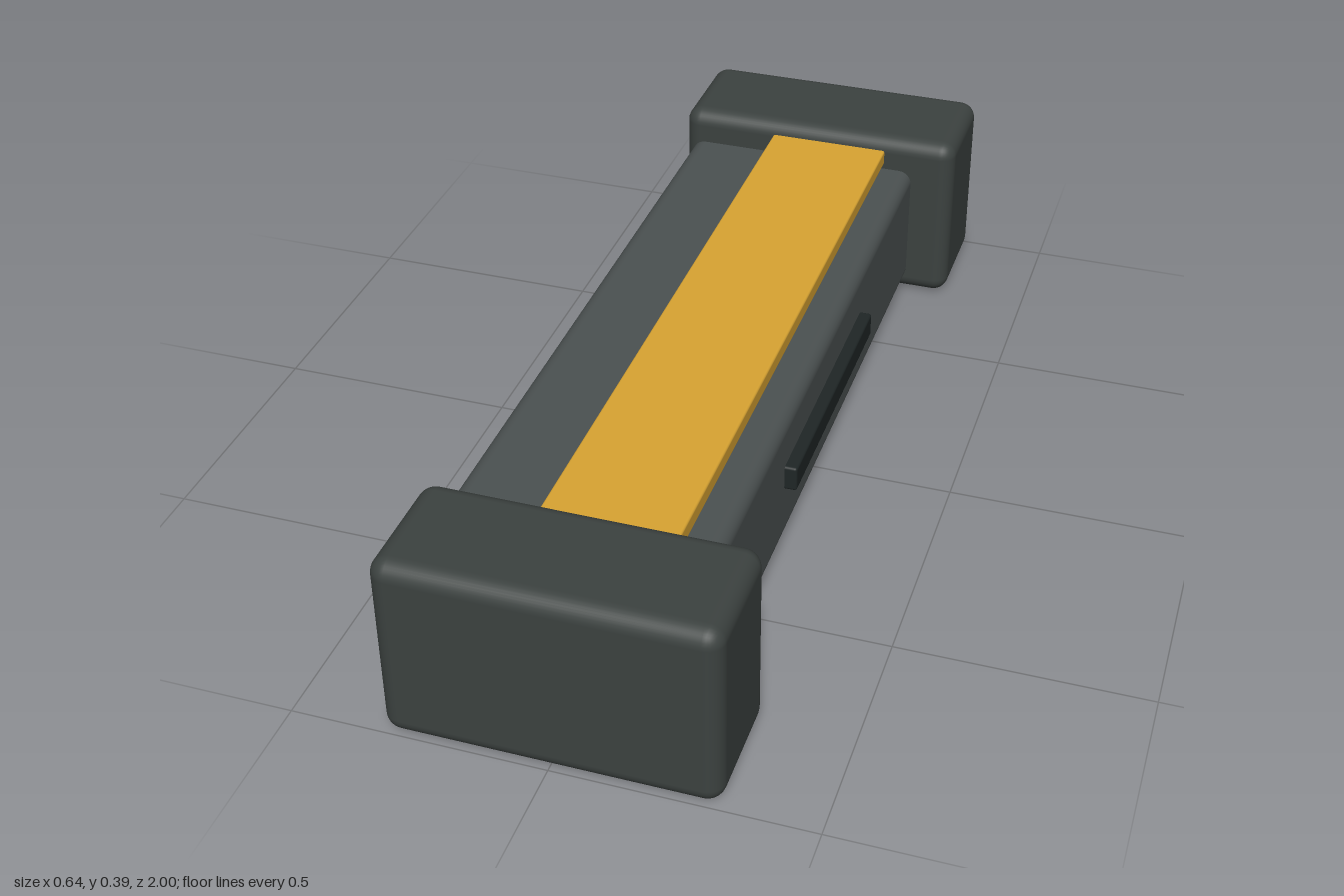
import * as THREE from 'three';
import { RoundedBoxGeometry } from 'three/addons/geometries/RoundedBoxGeometry.js';

const material = (color) => new THREE.MeshStandardMaterial({ color });

// Rounded block given by its lower and upper corners
function block(name, min, max, radius, mat) {
  const size = max.map((v, i) => v - min[i]);
  const mesh = new THREE.Mesh(new RoundedBoxGeometry(...size, 4, radius), mat);
  mesh.position.set(...max.map((v, i) => (v + min[i]) / 2));
  mesh.name = name;
  return mesh;
}

export function createModel() {
  const model = new THREE.Group();
  model.name = 'cappedBar';

  const capMat = material(0x3c4240);
  const bodyMat = material(0x4b5151);
  const plateMat = material(0xd9a432);
  const gripMat = material(0x1f2626);

  // Long body, its ends tucked into the caps
  model.add(block('body', [-0.3, 0.03, -0.8], [0.225, 0.315, 0.8], 0.03, bodyMat));

  // Off-centre plate held by the caps just above the body
  model.add(block('topPlate', [-0.105, 0.325, -0.78], [0.16, 0.36, 0.78], 0.005, plateMat));

  // Slim grip on the left side
  model.add(block('sideGrip', [0.215, 0.158, -0.293], [0.25, 0.212, 0.293], 0.006, gripMat));

  // Matching end caps
  for (const [name, z] of [['frontCap', 0.87], ['backCap', -0.87]]) {
    model.add(block(name, [-0.32, 0, z - 0.13], [0.32, 0.39, z + 0.13], 0.035, capMat));
  }

  return model;
}
